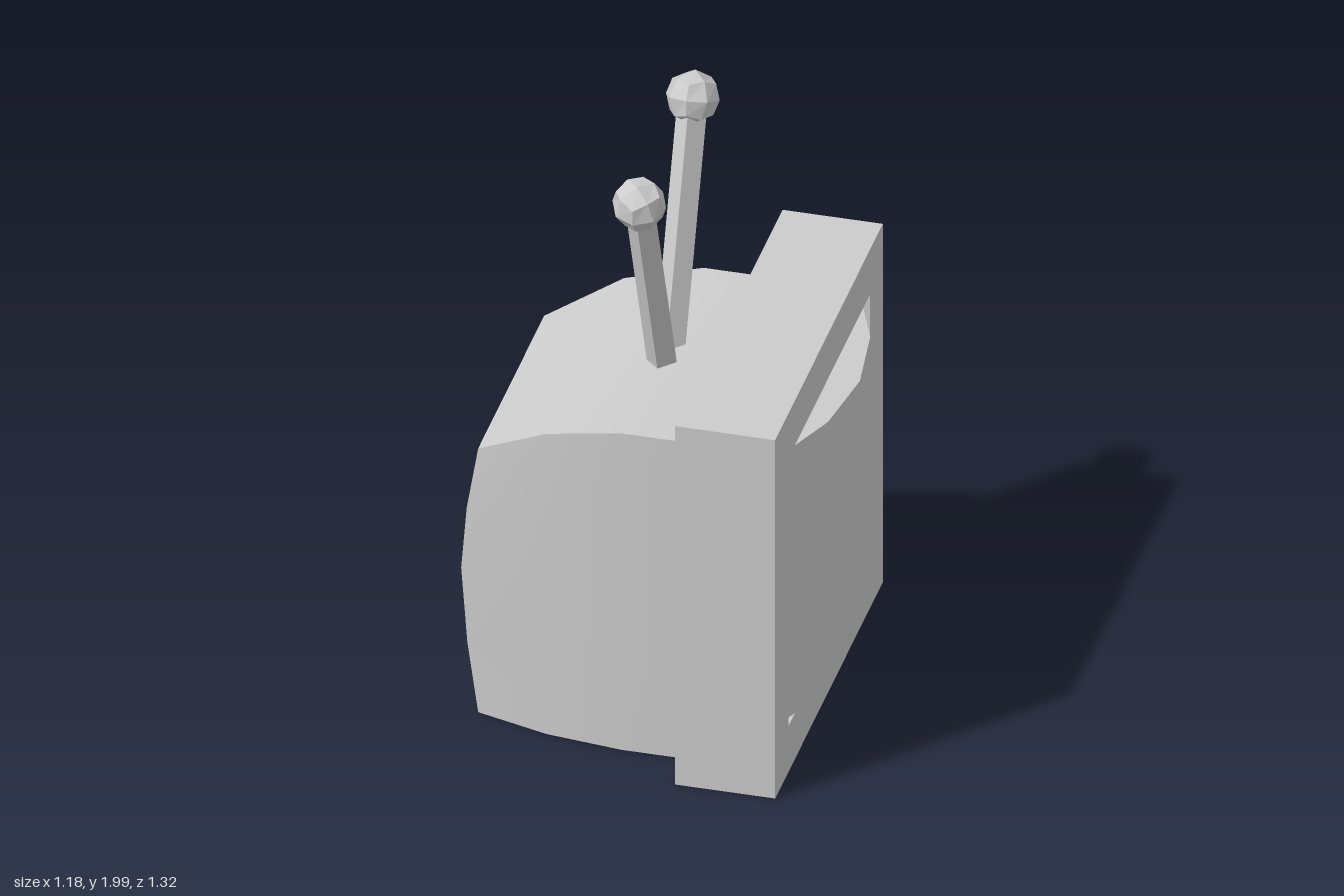
import * as THREE from 'three';

const smooth = new THREE.MeshStandardMaterial({ color: 0xcccccc });
const flat = new THREE.MeshStandardMaterial({ color: 0xcccccc, flatShading: true });

// Smooth surface through a grid of points; the normal points along (row step) x (column step).
function patch(rows) {
  const w = rows[0].length, index = [];
  for (let i = 0; i < rows.length - 1; i++) {
    for (let j = 0; j < w - 1; j++) {
      const a = i * w + j, b = a + w;
      index.push(a, b, b + 1, a, b + 1, a + 1);
    }
  }
  const g = new THREE.BufferGeometry();
  g.setAttribute('position', new THREE.Float32BufferAttribute(rows.flat(2), 3));
  g.setIndex(index);
  g.computeVertexNormals();
  return g;
}

function add(parent, name, geometry, material = smooth) {
  const mesh = new THREE.Mesh(geometry, material);
  mesh.name = name;
  parent.add(mesh);
  return mesh;
}

function group(parent, name) {
  const g = new THREE.Group();
  g.name = name;
  parent.add(g);
  return g;
}

// Tapered rear housing with a bulging back
function buildHousing(parent) {
  const housing = group(parent, 'housing');
  // x, top height, half width, from the frame to the back
  const stations = [[0.165, 1.17, 0.505], [-0.05, 1.17, 0.505], [-0.3, 1.11, 0.475], [-0.54, 0.975, 0.405]];
  const heights = [0, 0.26, 0.54, 0.77, 1];
  const bulge = [0, 0.035, 0.055, 0.037, 0];
  const column = ([x, top, w], i, sign) =>
    heights.map((f, k) => [x - (i === 3 ? bulge[k] : 0), top * f, sign * w]);

  add(housing, 'housingLeft', patch(stations.map((s, i) => column(s, i, 1).reverse())));
  add(housing, 'housingRight', patch(stations.map((s, i) => column(s, i, -1))));
  add(housing, 'housingTop', patch(stations.map(([x, y, w]) => [[x, y, -w], [x, y, w]])));
  add(housing, 'housingBottom', patch(stations.map(([x, , w]) => [[x, 0, w], [x, 0, -w]])));
  add(housing, 'housingBack', patch([-1, 1].map(sign => column(stations[3], 3, sign))));
}

// Square front frame with a shallow recess
function buildFrame(parent) {
  const frame = group(parent, 'frame');
  const H = 1.325, W = 0.66, floor = 0.44, front = 0.49;
  const block = add(frame, 'frameBlock', new THREE.BoxGeometry(floor - 0.165, H, 2 * W));
  block.position.set((floor + 0.165) / 2, H / 2, 0);

  const rect = (Type, w, y0, y1) => new Type([[-w, y0], [w, y0], [w, y1], [-w, y1]]
    .map(p => new THREE.Vector2(...p)));
  const outline = rect(THREE.Shape, W, 0, H);
  outline.holes.push(rect(THREE.Path, 0.5, 0.17, 1.16));
  const bezel = new THREE.ExtrudeGeometry(outline, { depth: front - floor, bevelEnabled: false });
  bezel.rotateY(Math.PI / 2).translate(floor, 0, 0);
  add(frame, 'bezel', bezel);
}

// Curved screen, fuller at the top centre
function buildScreen(parent) {
  const screen = group(parent, 'screen');
  const y0 = 0.17, y1 = 1.16, back = 0.44;
  // z, x at the bottom, x at the top
  const curve = [[0.5, 0.457, 0.457], [0.26, 0.555, 0.555], [0, 0.555, 0.59],
    [-0.26, 0.555, 0.555], [-0.5, 0.457, 0.457]];
  add(screen, 'screenGlass', patch(curve.map(([z, a, b]) => [[a, y0, z], [b, y1, z]])));
  add(screen, 'screenTop', patch(curve.map(([z, , b]) => [[b, y1, z], [back, y1, z]])));
  add(screen, 'screenBottom', patch(curve.map(([z, a]) => [[back, y0, z], [a, y0, z]])));
}

// Faceted ball: a subdivided cube pushed out to a sphere
function ballGeometry(radius) {
  const g = new THREE.BoxGeometry(1, 1, 1, 2, 2, 2);
  const p = g.attributes.position, v = new THREE.Vector3();
  for (let i = 0; i < p.count; i++) {
    v.fromBufferAttribute(p, i).setLength(radius);
    p.setXYZ(i, v.x, v.y, v.z);
  }
  return g.rotateY(Math.PI / 4);
}

// Leaning four-sided aerial with a ball tip
function buildAntenna(parent, name, side) {
  const antenna = group(parent, name);
  const length = 0.85;
  const rod = new THREE.CylinderGeometry(0.049, 0.049, length, 4);
  add(antenna, 'antennaRod', rod.translate(0, length / 2, 0), flat);
  add(antenna, 'antennaBall', ballGeometry(0.087), flat).position.y = length;
  antenna.position.set(-0.038, 1.115, side * 0.034);
  antenna.rotation.x = side * 0.354;
}

export function createModel() {
  const model = new THREE.Group();
  model.name = 'television';
  buildHousing(model);
  buildFrame(model);
  buildScreen(model);
  buildAntenna(model, 'leftAntenna', 1);
  buildAntenna(model, 'rightAntenna', -1);
  return model;
}
